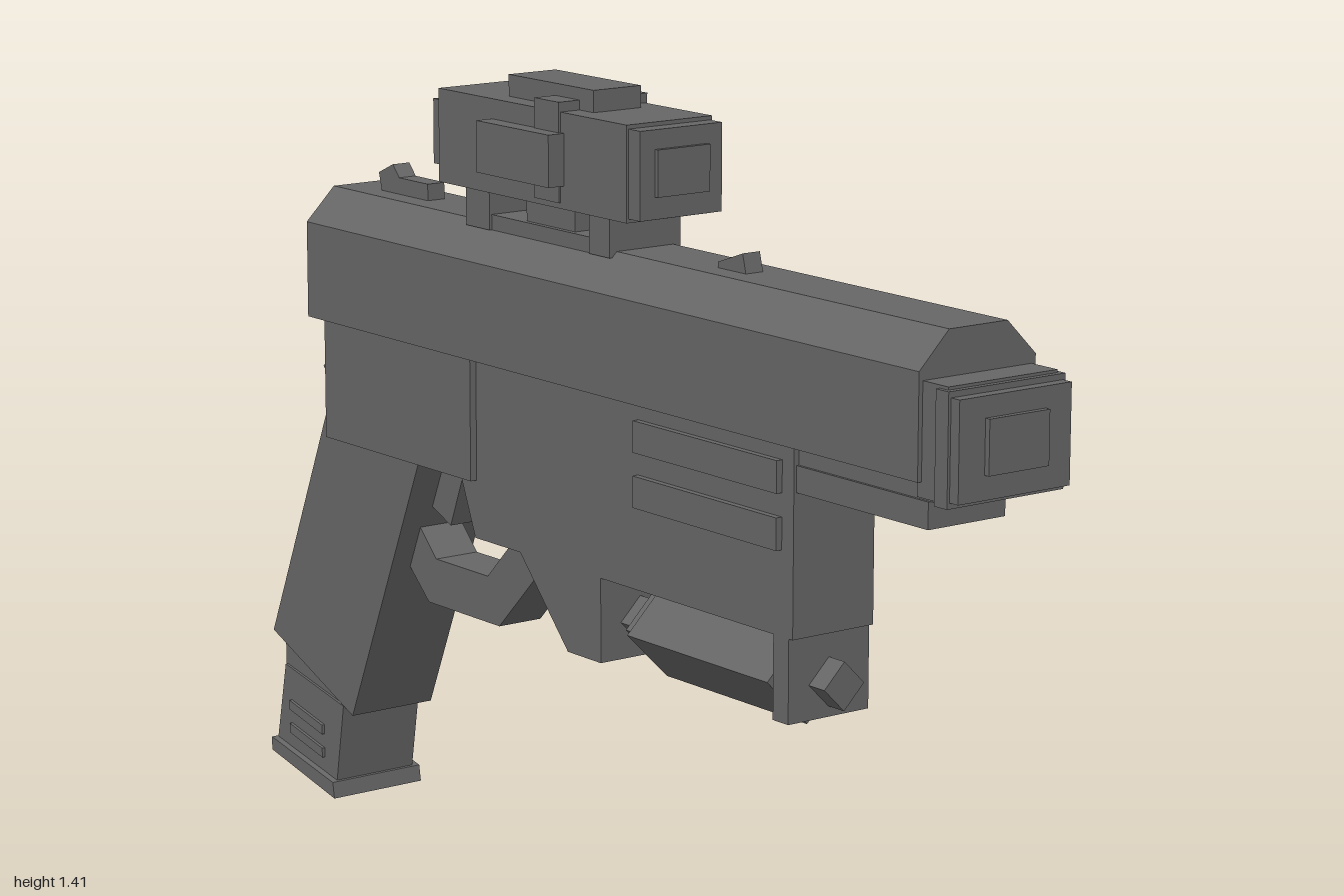
import * as THREE from 'three';

const gunmetal = new THREE.MeshStandardMaterial({ color: 0x666666, flatShading: true });
gunmetal.name = 'gunmetal';

export function createModel() {
  const model = new THREE.Group();
  model.name = 'pistol';

  const add = (name, geometry) => {
    const mesh = new THREE.Mesh(geometry, gunmetal);
    mesh.name = name;
    model.add(mesh);
    return mesh;
  };
  const outline = (pts) => new THREE.Shape(pts.map(([a, b]) => new THREE.Vector2(a, b)));

  // Side outline in [z, y], extruded across x and centred on x
  const side = (name, half, pts, x = 0) => {
    const g = new THREE.ExtrudeGeometry(outline(pts), { depth: half * 2, bevelEnabled: false });
    g.translate(0, 0, -half).rotateY(-Math.PI / 2).translate(x, 0, 0);
    return add(name, g);
  };
  // Box given by its half width and its z and y ranges
  const block = (name, half, z0, z1, y0, y1, x = 0) => {
    const g = new THREE.BoxGeometry(half * 2, y1 - y0, Math.abs(z1 - z0));
    return add(name, g.translate(x, (y0 + y1) / 2, (z0 + z1) / 2));
  };
  // Four-sided bar along z, standing on its edge
  const diamond = (name, r, z0, z1) => {
    const g = new THREE.CylinderGeometry(r, r, z1 - z0, 4);
    add(name, g.rotateX(Math.PI / 2).translate(0, 0.505, (z0 + z1) / 2));
  };

  // Slide in two sections with chamfered top
  const section = [[-0.12, 0.92], [0.12, 0.92], [0.12, 1.095], [0.06, 1.155], [-0.06, 1.155], [-0.12, 1.095]];
  const slide = (name, z0, z1) => {
    const g = new THREE.ExtrudeGeometry(outline(section), { depth: z1 - z0, bevelEnabled: false });
    add(name, g.translate(0, 0, z0));
  };
  slide('frontSlide', 0.18, 0.9);
  slide('rearSlide', -0.81, 0.18);

  // Muzzle
  block('muzzleCollar', 0.112, 0.89, 0.96, 0.895, 1.08);
  block('muzzleBlock', 0.12, 0.94, 0.97, 0.89, 1.075);
  block('muzzleFace', 0.115, 0.97, 0.99, 0.9, 1.065);
  block('muzzleBore', 0.062, 0.99, 1.0, 0.94, 1.03);
  block('underBarrelRail', 0.08, 0.55, 0.88, 0.835, 0.88);
  block('barrelBed', 0.075, 0.55, 0.89, 0.88, 0.92);

  // Frame with forward stop, raised rear plate and side rails
  side('frame', 0.085, [[0.555, 0.92], [0.555, 0.59], [0.035, 0.59], [0.035, 0.44], [-0.06, 0.44],
    [-0.2, 0.59], [-0.335, 0.59], [-0.38, 0.7], [-0.79, 0.7], [-0.79, 0.92]]);
  block('rearFramePlate', 0.098, -0.33, -0.79, 0.695, 0.92);
  for (const s of [-1, 1]) {
    block('upperSideRail', 0.008, 0.14, 0.525, 0.83, 0.885, s * 0.089);
    block('lowerSideRail', 0.008, 0.14, 0.525, 0.735, 0.79, s * 0.089);
  }

  // Trigger and guard
  side('triggerGuard', 0.045, [[-0.18, 0.6], [-0.18, 0.565], [-0.32, 0.425], [-0.54, 0.425], [-0.605, 0.485],
    [-0.57, 0.565], [-0.515, 0.51], [-0.355, 0.51], [-0.275, 0.59]]);
  side('trigger', 0.03, [[-0.44, 0.7], [-0.49, 0.575], [-0.55, 0.6], [-0.53, 0.7]]);

  // Grip, magazine and hammer
  side('grip', 0.088, [[-0.5, 0.71], [-0.73, 0.175], [-0.995, 0.285], [-0.785, 0.78], [-0.785, 0.9], [-0.5, 0.9]]);
  side('magazineCollar', 0.08, [[-0.755, 0.19], [-0.765, 0.18], [-0.965, 0.225], [-0.965, 0.28], [-0.9, 0.3]]);
  side('magazine', 0.085, [[-0.765, 0.185], [-0.79, 0.035], [-0.99, 0.075], [-0.96, 0.225]]);
  side('magazineBase', 0.098, [[-0.785, 0.035], [-0.78, 0.005], [-0.992, 0.052], [-0.992, 0.077]]);
  for (const s of [-1, 1]) {
    for (const y of [0.09, 0.135]) {
      side('magazineRib', 0.004, [[-0.83, y], [-0.83, y - 0.018], [-0.94, y + 0.006], [-0.94, y + 0.024]], s * 0.087);
    }
  }
  side('hammer', 0.024, [[-0.78, 0.84], [-0.785, 0.8], [-0.815, 0.825], [-0.875, 0.77], [-0.908, 0.8],
    [-0.825, 0.878], [-0.79, 0.85]]);

  // Under-frame light unit and its bracket
  block('lightBracket', 0.085, 0.505, 0.545, 0.445, 0.6);
  diamond('lightNose', 0.042, 0.5, 0.585);
  diamond('lightBody', 0.085, 0.11, 0.49);
  diamond('lightNeck', 0.065, 0.08, 0.11);
  diamond('lightTail', 0.042, 0.03, 0.51);

  // Iron sights
  side('frontSight', 0.018, [[0.345, 1.15], [0.335, 1.188], [0.27, 1.165], [0.27, 1.15]]);
  side('rearSight', 0.018, [[-0.57, 1.15], [-0.57, 1.185], [-0.66, 1.185], [-0.68, 1.207], [-0.725, 1.187], [-0.715, 1.15]]);

  // Scope mount
  block('mountRail', 0.07, 0.045, -0.37, 1.14, 1.172);
  block('frontMountPost', 0.075, 0.048, -0.01, 1.145, 1.22);
  block('rearMountPost', 0.075, -0.3, -0.37, 1.145, 1.22);
  block('mountBridge', 0.06, -0.07, -0.21, 1.17, 1.22);

  // Scope
  block('scopeBody', 0.09, 0.115, -0.43, 1.215, 1.38);
  block('scopeHood', 0.086, 0.115, 0.147, 1.222, 1.373);
  block('scopeLens', 0.055, 0.14, 0.155, 1.26, 1.34);
  block('scopeEyepiece', 0.07, -0.43, -0.475, 1.24, 1.355);
  block('scopeTurret', 0.05, -0.03, -0.275, 1.375, 1.418);
  block('scopeBand', 0.094, -0.07, -0.14, 1.225, 1.397);
  block('scopeSideKnob', 0.018, -0.06, -0.27, 1.255, 1.345, -0.105);

  return model;
}
